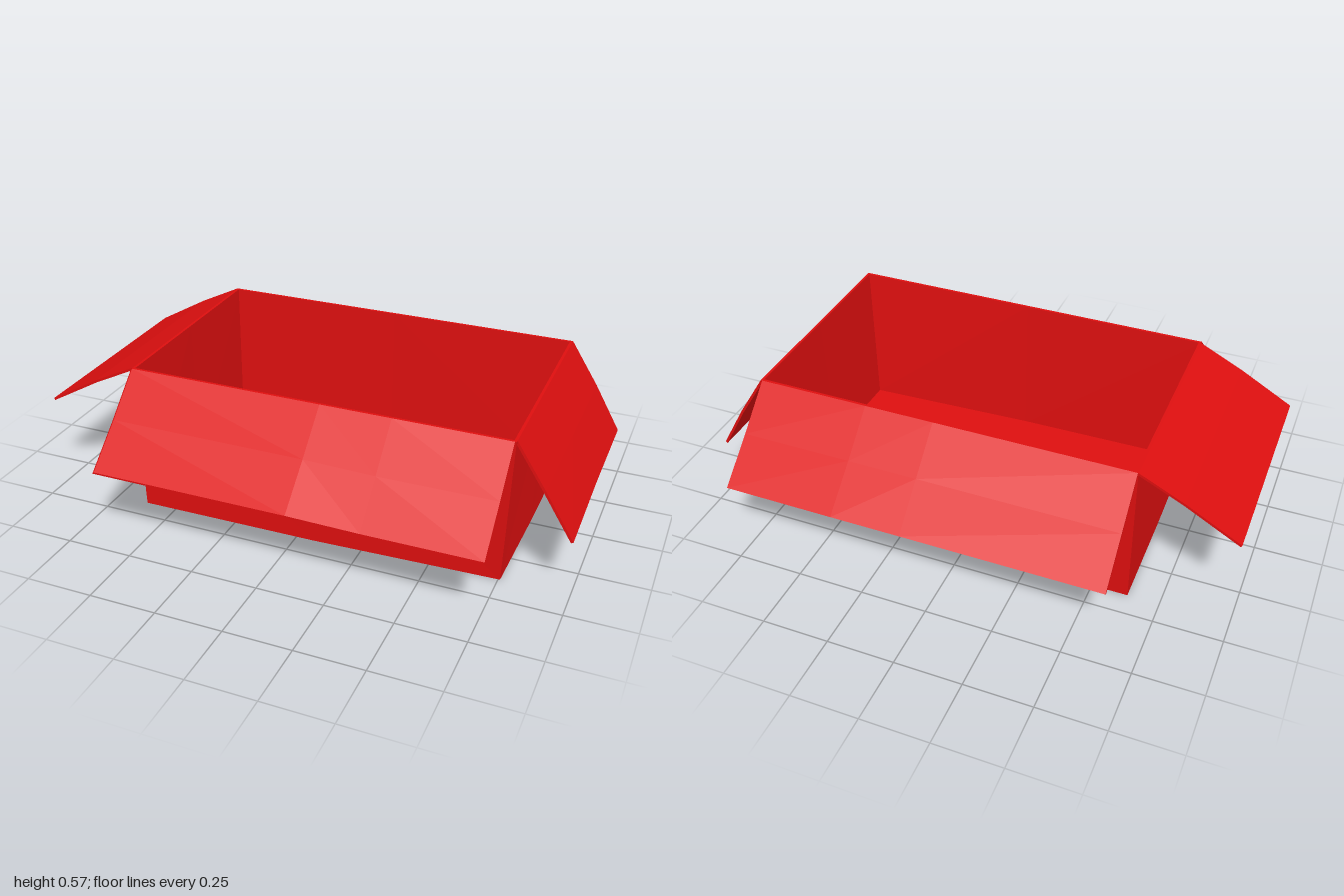
import * as THREE from 'three';

const material = new THREE.MeshStandardMaterial({ color: 0xdd0f0f, flatShading: true });

// Thin card panel: a grid of outer points, thickened along the offset vector.
function panel(name, rows, offset) {
  const nr = rows.length, nc = rows[0].length;
  const off = new THREE.Vector3(...offset);
  const outer = rows.map(r => r.map(p => new THREE.Vector3(...p)));
  const inner = outer.map(r => r.map(p => p.clone().add(off)));
  const pos = [];
  const normal = outer[1][0].clone().sub(outer[0][0])
    .cross(outer[0][1].clone().sub(outer[0][0]));
  const flip = normal.dot(off) > 0;
  const quad = (a, b, c, d) => {
    const order = flip ? [a, c, b, a, d, c] : [a, b, c, a, c, d];
    order.forEach(p => pos.push(p.x, p.y, p.z));
  };
  for (let i = 0; i < nr - 1; i++) {
    for (let j = 0; j < nc - 1; j++) {
      quad(outer[i][j], outer[i + 1][j], outer[i + 1][j + 1], outer[i][j + 1]);
      quad(inner[i][j], inner[i][j + 1], inner[i + 1][j + 1], inner[i + 1][j]);
    }
  }
  // rim around the panel
  const loop = [];
  for (let i = 0; i < nr - 1; i++) loop.push([i, 0]);
  for (let j = 0; j < nc - 1; j++) loop.push([nr - 1, j]);
  for (let i = nr - 1; i > 0; i--) loop.push([i, nc - 1]);
  for (let j = nc - 1; j > 0; j--) loop.push([0, j]);
  loop.forEach(([i, j], k) => {
    const [m, n] = loop[(k + 1) % loop.length];
    quad(outer[i][j], inner[i][j], inner[m][n], outer[m][n]);
  });
  const geometry = new THREE.BufferGeometry();
  geometry.setAttribute('position', new THREE.Float32BufferAttribute(pos, 3));
  geometry.computeVertexNormals();
  const mesh = new THREE.Mesh(geometry, material);
  mesh.name = name;
  return mesh;
}

export function createModel() {
  const box = new THREE.Group();
  box.name = 'openBox';
  const T = 0.01, H = 0.568;
  const L = -0.635, R = 0.783, F = 0.423, B = -0.42;

  // bottom corners and edge midpoints, slightly out of square
  const fl = [-0.622, 0, 0.42], fm = [0.07, 0, 0.413], fr = [0.757, 0, 0.387];
  const bl = [-0.633, 0, -0.412], bm = [0.07, 0, -0.414], br = [0.77, 0, -0.41];
  const lm = [-0.63, 0, 0], rm = [0.766, 0, 0];

  // floor and four walls
  box.add(
    panel('floor', [[bl, bm, br], [lm, [0.07, 0, 0], rm], [fl, fm, fr]], [0, T, 0]),
    panel('frontWall', [[[L, H, F], [0.07, H, F], [R, H, F]], [fl, fm, fr]], [0, 0, -T]),
    panel('backWall', [[[L, H, B], [0.07, H, B], [R, H, B]], [bl, bm, br]], [0, 0, T]),
    panel('rightWall', [[[L, H, B], [L, H, 0], [L, H, F]], [bl, lm, fl]], [T, 0, 0]),
    panel('leftWall', [[[R, H, B], [R, H, 0], [R, H, F]], [br, rm, fr]], [-T, 0, 0])
  );

  // long flaps, with a slightly wavy free edge
  const x = [-0.633, 0.1, 0.36, 0.777];
  const row = (y, z) => x.map((v, i) => [v, y[i], z[i]]);
  const same = v => [v, v, v, v];
  box.add(
    panel('frontFlap', [
      row(same(H), same(F)),
      row([0.431, 0.431, 0.425, 0.428], same(0.568)),
      row([0.298, 0.298, 0.287, 0.292], [0.72, 0.718, 0.708, 0.714])
    ], [-0.006, -0.006, 0]),
    panel('backFlap', [
      row(same(H), same(B)),
      row([0.428, 0.43, 0.431, 0.431], same(-0.568)),
      row([0.29, 0.292, 0.298, 0.298], [-0.715, -0.717, -0.723, -0.722])
    ], [0, -0.006, 0.006])
  );

  // short flaps
  const side = (xv, y) => [[xv, y, B], [xv, y, 0], [xv, y, 0.413]];
  box.add(
    panel('rightFlap', [side(L, H), side(-0.8, 0.487), side(-1, 0.374)], [0.004, -0.008, 0]),
    panel('leftFlap', [side(R, H), side(0.89, 0.402),
      [[0.99, 0.228, B], [0.99, 0.23, 0], [0.995, 0.232, 0.413]]], [-0.008, -0.005, 0])
  );
  return box;
}
